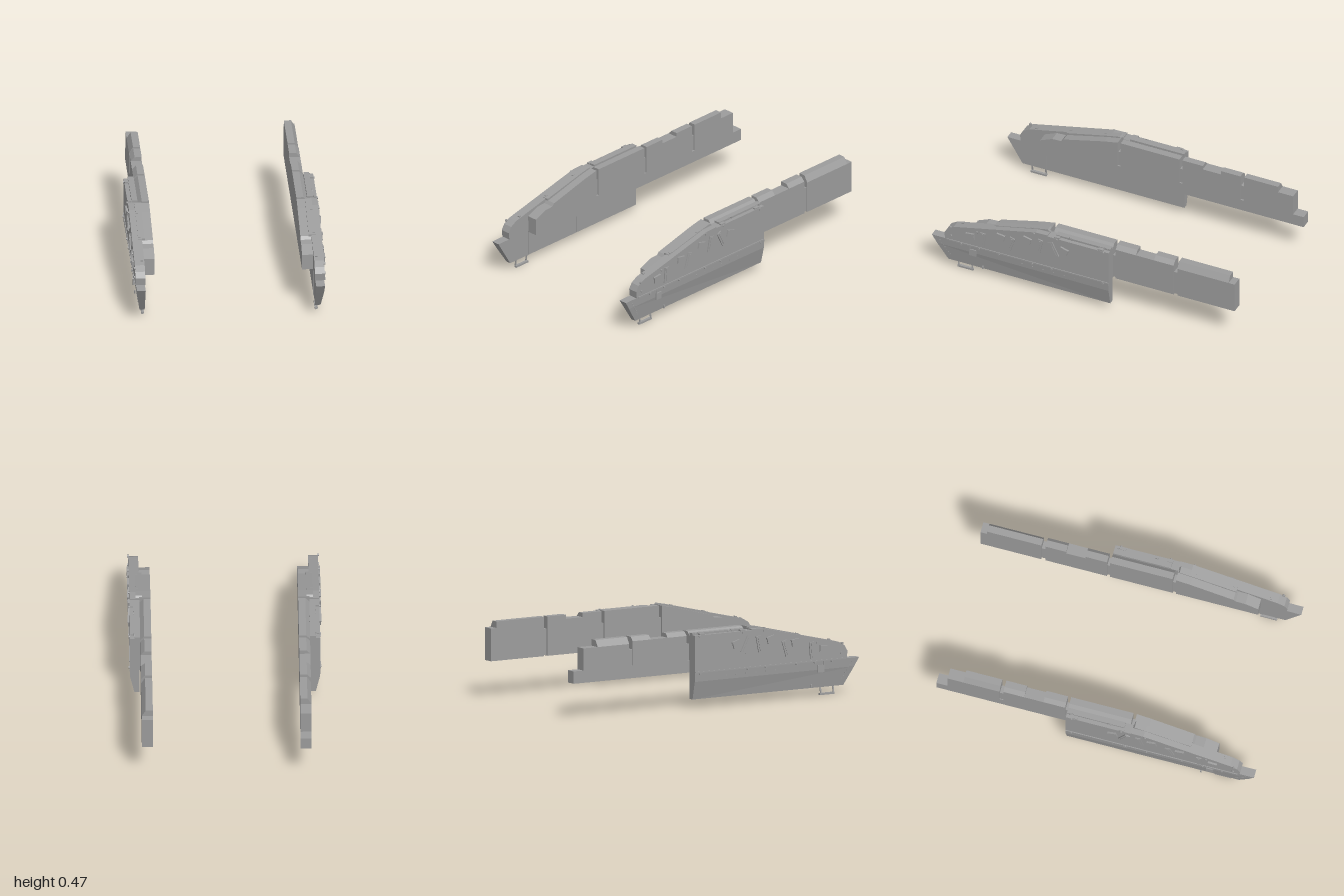
import * as THREE from 'three';

const grey = new THREE.MeshStandardMaterial({ color: 0x9c9c9c });
grey.name = 'plainGrey';

function add(parent, name, geometry) {
  const mesh = new THREE.Mesh(geometry, grey);
  mesh.name = name;
  parent.add(mesh);
  return mesh;
}

// Side profile of [z, y] points, extruded between distances a and b from the
// centre plane on side s; outerX(z, y) may reshape the outer face.
function slab(parent, name, s, points, a, b, outerX) {
  const shape = new THREE.Shape(points.map(p => new THREE.Vector2(p[0], p[1])));
  let g = new THREE.ExtrudeGeometry(shape, { depth: b - a, bevelEnabled: false });
  g.rotateY(-Math.PI / 2);
  g.translate(s > 0 ? b : -a, 0, 0);
  if (outerX) {
    const p = g.attributes.position;
    const mid = (a + b) / 2;
    for (let i = 0; i < p.count; i++) {
      if (Math.abs(p.getX(i)) > mid) p.setX(i, s * outerX(p.getZ(i), p.getY(i)));
    }
    g.computeVertexNormals();
  }
  return add(parent, name, g);
}

function box(parent, name, s, size, pos, tilt = 0) {
  const m = add(parent, name, new THREE.BoxGeometry(...size));
  m.position.set(s * pos[0], pos[1], pos[2]);
  m.rotation.x = tilt;
  return m;
}

function bolt(parent, s, x, y, z, r = 0.007, h = 0.012) {
  const m = add(parent, 'bolt', new THREE.CylinderGeometry(r, r, h, 8));
  m.rotation.z = Math.PI / 2;
  m.position.set(s * x, y, z);
}

// Outer armour: upper panel, tapered skirt, step and fittings
function outerArmour(s) {
  const g = new THREE.Group();
  g.name = s > 0 ? 'leftOuterArmour' : 'rightOuterArmour';

  slab(g, 'upperPanel', s, [
    [-0.175, 0.22], [0.91, 0.22], [0.915, 0.265], [0.895, 0.3], [0.853, 0.325],
    [0.31, 0.452], [0.23, 0.455], [0.23, 0.447], [-0.175, 0.447],
  ], 0.512, 0.572);
  // inward flange along the sloping top edge
  slab(g, 'topFlange', s, [
    [0.6, 0.375], [0.31, 0.445], [0.235, 0.447], [0.235, 0.458], [0.245, 0.47], [0.31, 0.457], [0.6, 0.388],
  ], 0.495, 0.535);
  box(g, 'roofRail', s, [0.035, 0.012, 0.36], [0.53, 0.453, 0.005]);

  // skirt, vertical above and tapering inward below
  slab(g, 'skirtBand', s, [[-0.175, 0.165], [0.967, 0.165], [1.0, 0.22], [-0.175, 0.22]],
    0.515, 0.575, (z, y) => (y > 0.2 ? 0.576 : 0.572) - (z > 0.9 ? 0.008 : 0));
  slab(g, 'skirtTaper', s, [[-0.175, 0.055], [0.9, 0.055], [0.967, 0.165], [-0.175, 0.165]],
    0.515, 0.575, (z, y) => (y > 0.1 ? 0.572 - (z > 0.9 ? 0.008 : 0) : 0.547));
  for (const z of [0.33, 0.745]) box(g, 'innerSeam', s, [0.004, 0.16, 0.006], [0.514, 0.138, z]);
  box(g, 'outerSeam', s, [0.004, 0.055, 0.004], [0.574, 0.192, 0.745]);
  box(g, 'skirtHatch', s, [0.006, 0.045, 0.045], [0.574, 0.172, 0.725]);
  box(g, 'skirtCatch', s, [0.008, 0.02, 0.008], [0.559, 0.07, 0.665]);

  // stirrup step
  for (const z of [0.75, 0.84]) {
    const leg = box(g, 'stepLeg', s, [0.006, 0.05, 0.008], [0.528, 0.035, z]);
    leg.rotation.z = s * 0.15;
  }
  box(g, 'stepBar', s, [0.016, 0.012, 0.105], [0.524, 0.009, 0.795]);

  // tilted slats and sight boxes on the outer face
  for (const [z, y, h, t] of [[0.66, 0.29, 0.1, -0.08], [0.475, 0.317, 0.1, -0.3],
    [0.285, 0.36, 0.1, -0.2], [0.19, 0.363, 0.105, 0.45]]) {
    box(g, 'slatFrame', s, [0.01, h, 0.034], [0.574, y, z], t);
    box(g, 'slat', s, [0.016, h * 0.85, 0.012], [0.574, y, z], t);
  }
  for (const [z, y, t] of [[0.74, 0.29, 0.1], [0.54, 0.345, -0.15], [0.365, 0.377, -0.25], [0.12, 0.37, -0.3]]) {
    box(g, 'sightBox', s, [0.016, 0.036, 0.05], [0.574, y, z], t);
    box(g, 'sightHood', s, [0.024, 0.008, 0.056], [0.572, y + 0.02, z + 0.02 * t], t);
  }

  // hinge strip, bolts and rivets
  box(g, 'hingeStrip', s, [0.006, 0.008, 1.07], [0.574, 0.222, 0.365]);
  for (const z of [-0.14, 0.2, 0.33, 0.55, 0.68, 0.8]) bolt(g, s, 0.576, 0.215, z);
  for (const [z, y] of [[0.87, 0.255], [0.875, 0.315], [0.7, 0.335], [0.32, 0.44], [0.17, 0.44], [-0.14, 0.44]])
    bolt(g, s, 0.573, y, z, 0.008);
  for (let i = 0; i < 6; i++) box(g, 'rivet', s, [0.004, 0.005, 0.005], [0.572, 0.19, 0.4 - i * 0.07]);
  for (let i = 0; i < 7; i++)
    box(g, 'rivet', s, [0.006, 0.005, 0.005], [0.568 - i * 0.0025, 0.195 - i * 0.016, 0.945 - i * 0.01]);

  // lifting eyes on the roof and caps on the front slope
  for (const z of [-0.145, 0.09]) {
    const eye = add(g, 'liftingEye', new THREE.TorusGeometry(0.012, 0.003, 6, 12));
    eye.rotation.y = Math.PI / 2;
    eye.position.set(s * 0.548, 0.45, z);
  }
  for (const [y, z] of [[0.338, 0.81], [0.392, 0.58], [0.446, 0.35]])
    box(g, 'slopeCap', s, [0.016, 0.008, 0.016], [0.527, y, z], 0.23);
  for (const z of [-0.12, 0.17]) box(g, 'roofClamp', s, [0.02, 0.014, 0.035], [0.56, 0.449, z]);
  return g;
}

// Inner row of stowage blocks with the outer top edge bevelled
function innerBlocks(s) {
  const g = new THREE.Group();
  g.name = s > 0 ? 'leftInnerBlocks' : 'rightInnerBlocks';
  const low = s > 0 ? 0.225 : 0.29;
  const bevel = (z, y) => (y > 0.45 ? 0.488 : 0.512);
  const end = s > 0 ? -0.985 : -0.93;
  const step = s > 0 ? -0.945 : -0.83;
  const bodies = [
    [[end, 0.425], [-0.605, 0.425]],
    [[-0.58, 0.44], [-0.195, 0.44]],
    [[-0.175, 0.44], [0.215, 0.44]],
  ];
  for (const [[z0, y], [z1]] of bodies)
    slab(g, 'blockBody', s, [[z0, low], [z1, low], [z1, y], [z0, y]], 0.445, 0.512);
  const caps = [[step, -0.605, 0.425], [-0.58, -0.45, 0.44], [-0.33, -0.195, 0.44], [-0.175, 0.215, 0.44]];
  for (const [z0, z1, y] of caps)
    slab(g, 'blockCap', s, [[z0, y], [z1, y], [z1, 0.465], [z0, 0.465]], 0.445, 0.512, bevel);

  // front block with a stepped, sloping top
  slab(g, 'frontBlock', s, [
    [0.235, low], [0.75, low], [0.75, 0.32], [0.67, 0.355], [0.61, 0.358],
    [0.595, 0.375], [0.325, 0.445], [0.235, 0.463],
  ], 0.445, 0.514);

  // recessed spacers bridging the gaps
  for (const z of [-0.5925, -0.185, 0.225])
    box(g, 'spacer', s, [0.05, 0.16, 0.03], [0.48, 0.31, z]);

  // continuous base beam on the right row only
  if (s < 0) slab(g, 'baseBeam', s, [[-1, 0.215], [0.75, 0.215], [0.75, 0.29], [-1, 0.29]], 0.445, 0.51);
  return g;
}

export function createModel() {
  const model = new THREE.Group();
  model.name = 'sideArmourSet';
  for (const s of [1, -1]) model.add(outerArmour(s), innerBlocks(s));
  return model;
}
